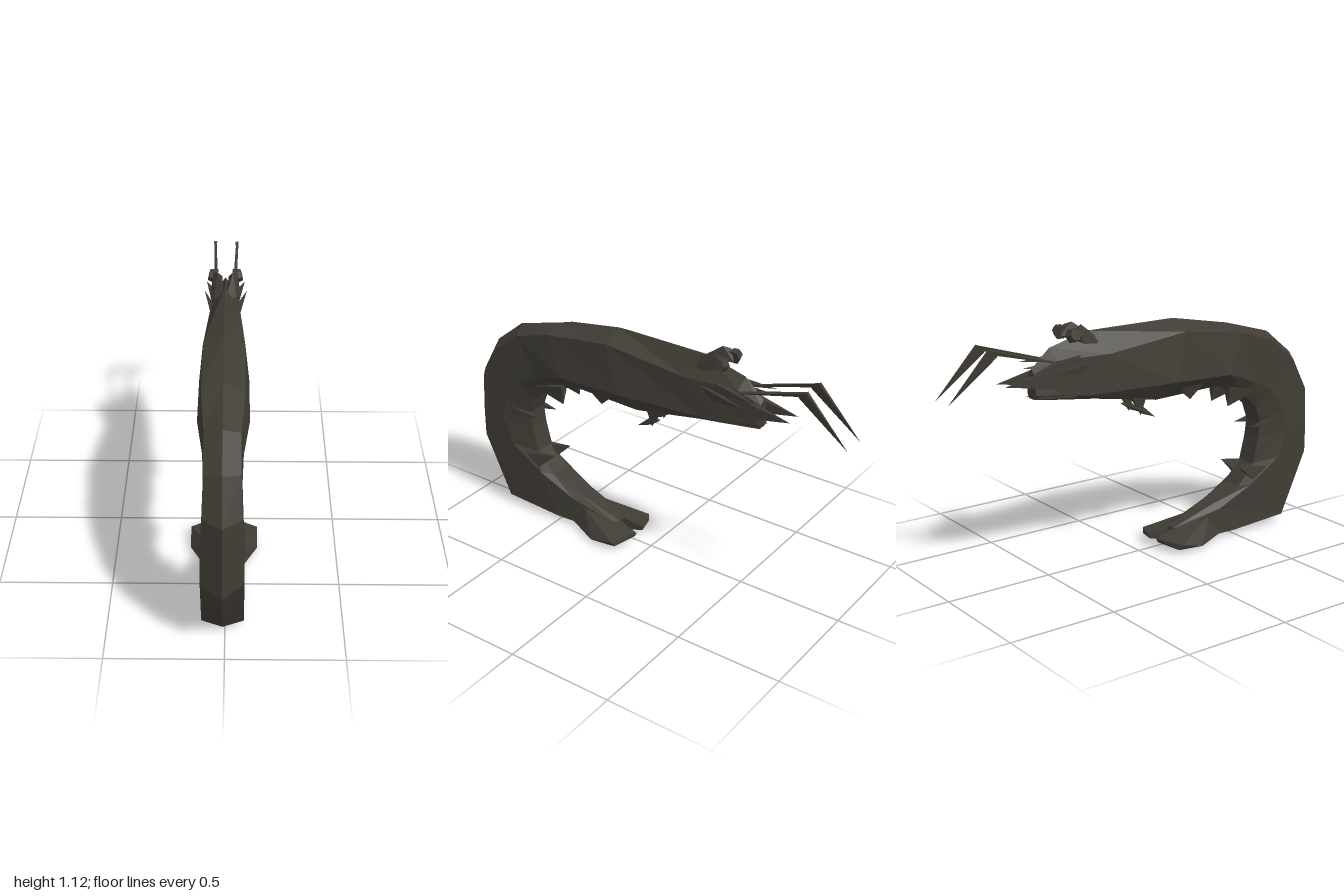
import * as THREE from 'three';
import { ConvexGeometry } from 'three/addons/geometries/ConvexGeometry.js';

const MID = -0.01; // the body sits slightly off centre
const material = new THREE.MeshStandardMaterial({
  color: 0x403c35, flatShading: true, roughness: 0.9, side: THREE.DoubleSide,
});

// Cross-sections from head to tail, each as
// ridge [z, y], upper side [z, y, halfWidth], lower side [...], belly [...]
const rings = [
  [[-0.57, 0.95], [-0.57, 0.93, 0.02], [-0.57, 0.84, 0.035], [-0.57, 0.82, 0.02]],
  [[-0.48, 1.03], [-0.47, 0.98, 0.045], [-0.45, 0.83, 0.055], [-0.45, 0.805, 0.03]],
  [[-0.29, 1.08], [-0.21, 0.98, 0.07], [-0.32, 0.81, 0.065], [-0.28, 0.785, 0.04]],
  [[0.18, 1.08], [0.19, 1.03, 0.09], [0.12, 0.81, 0.11], [0.05, 0.73, 0.05]],
  [[0.50, 1.02], [0.52, 0.985, 0.09], [0.44, 0.80, 0.11], [0.40, 0.74, 0.05]],
  [[0.75, 0.95], [0.72, 0.92, 0.075], [0.60, 0.74, 0.085], [0.56, 0.68, 0.05]],
  [[0.90, 0.83], [0.86, 0.81, 0.075], [0.72, 0.68, 0.08], [0.65, 0.60, 0.05]],
  [[1.00, 0.65], [0.94, 0.655, 0.08], [0.80, 0.57, 0.085], [0.68, 0.52, 0.05]],
  [[1.00, 0.48], [0.94, 0.48, 0.09], [0.82, 0.47, 0.09], [0.67, 0.44, 0.05]],
  [[1.00, 0.31], [0.94, 0.34, 0.09], [0.77, 0.34, 0.09], [0.64, 0.32, 0.05]],
  [[0.80, 0.005], [0.80, 0.04, 0.09], [0.60, 0.23, 0.085], [0.55, 0.22, 0.05]],
  [[0.50, 0.002], [0.50, 0.02, 0.085], [0.42, 0.14, 0.07], [0.40, 0.16, 0.04]],
  [[0.18, 0.0], [0.16, 0.01, 0.05], [0.18, 0.07, 0.045], [0.18, 0.08, 0.02]],
];

function bodyGeometry() {
  const loops = rings.map(([t, u, l, b]) => [
    [MID, t[1], t[0]],
    ...[u, l, b].map(([z, y, w]) => [MID + w, y, z]),
    ...[b, l, u].map(([z, y, w]) => [MID - w, y, z]),
  ]);
  const n = loops[0].length, last = loops.length - 1, index = [];
  for (let i = 0; i < last; i++) {
    for (let j = 0; j < n; j++) {
      const k = (j + 1) % n, a = i * n, d = a + n;
      index.push(a + j, d + j, a + k, a + k, d + j, d + k);
    }
  }
  for (let j = 1; j < n - 1; j++) {
    index.push(0, j, j + 1, last * n, last * n + j + 1, last * n + j);
  }
  const g = new THREE.BufferGeometry();
  g.setAttribute('position', new THREE.Float32BufferAttribute(loops.flat(2), 3));
  g.setIndex(index);
  g.computeVertexNormals();
  return g;
}

export function createModel() {
  const model = new THREE.Group();
  model.name = 'shrimp';

  const add = (name, geometry) => {
    const mesh = new THREE.Mesh(geometry, material);
    mesh.name = name;
    model.add(mesh);
  };
  // A mirrored pair of faceted solids; points are [offset from midline, y, z]
  const pair = (name, points) => {
    for (const s of [1, -1]) {
      const pts = points.map(([x, y, z]) => new THREE.Vector3(MID + s * x, y, z));
      add((s > 0 ? 'left' : 'right') + name, new ConvexGeometry(pts));
    }
  };
  // A four-sided spike from a base segment (across x0..x1) to its tip
  const spike = (name, x0, x1, [z0, y0], [z1, y1], tip) => pair(name, [
    [x0, y0, z0], [x1, y0, z0], [x0, y1, z1], [x1, y1, z1], tip,
  ]);

  add('body', bodyGeometry());

  // Swimming legs along the inner curve
  spike('SwimmingLeg1', 0.03, 0.08, [0.16, 0.78], [0.31, 0.78], [0.06, 0.705, 0.24]);
  spike('SwimmingLeg2', 0.03, 0.08, [0.46, 0.735], [0.62, 0.69], [0.06, 0.635, 0.465]);
  spike('SwimmingLeg3', 0.03, 0.08, [0.78, 0.535], [0.78, 0.485], [0.06, 0.51, 0.61]);
  spike('SwimmingLeg4', 0.03, 0.08, [0.70, 0.30], [0.62, 0.25], [0.06, 0.335, 0.53]);

  // Bent front legs
  spike('FrontLegUpper', 0.03, 0.06, [-0.10, 0.79], [0.00, 0.78], [0.045, 0.67, -0.03]);
  pair('FrontLegLower', [
    [0.035, 0.71, -0.07], [0.055, 0.71, -0.07], [0.045, 0.72, -0.03],
    [0.045, 0.675, -0.02], [0.045, 0.65, 0.05],
  ]);

  // Eyes on short lumps
  pair('EyeStalk', [
    [0.005, 1.05, -0.24], [0.035, 1.12, -0.34], [0.015, 1.07, -0.41],
    [0.055, 1.11, -0.37], [0.065, 1.04, -0.34], [0.05, 1.03, -0.26],
  ]);
  for (const s of [1, -1]) {
    const eye = new THREE.CylinderGeometry(0.026, 0.034, 0.035, 6);
    eye.rotateZ(-s * Math.PI / 2.4).translate(MID + s * 0.057, 1.082, -0.39);
    add(s > 0 ? 'leftEye' : 'rightEye', eye);
  }

  // Mouth feelers fanning out from the head
  spike('UpperFeeler', 0.02, 0.06, [-0.36, 0.99], [-0.36, 0.95], [0.09, 0.965, -0.58]);
  spike('OuterFeeler', 0.04, 0.07, [-0.30, 0.96], [-0.36, 0.91], [0.10, 0.93, -0.55]);
  spike('LongFeeler', 0.015, 0.055, [-0.46, 0.95], [-0.48, 0.86], [0.035, 0.90, -0.72]);
  spike('LowerFeeler', 0.01, 0.06, [-0.38, 0.88], [-0.38, 0.81], [0.03, 0.825, -0.58]);

  // Antennae rise forward, then bend down to a point
  pair('AntennaBase', [
    [0.03, 0.955, -0.42], [0.055, 0.955, -0.42], [0.04, 0.97, -0.45],
    [0.048, 1.075, -0.80], [0.056, 1.07, -0.80], [0.052, 1.045, -0.77],
  ]);
  pair('AntennaTip', [
    [0.044, 1.075, -0.80], [0.06, 1.075, -0.80], [0.052, 1.04, -0.76], [0.053, 0.865, -1.0],
  ]);

  // Tail fan
  pair('TailFin', [
    [0.06, 0.02, 0.45], [0.06, 0.11, 0.36], [0.01, 0.01, 0.20], [0.01, 0.08, 0.20],
    [0.152, 0.015, 0.25], [0.152, 0.045, 0.13], [0.14, 0.02, 0.12],
    [0.03, 0.055, 0.07], [0.03, 0.035, 0.08],
  ]);

  return model;
}
